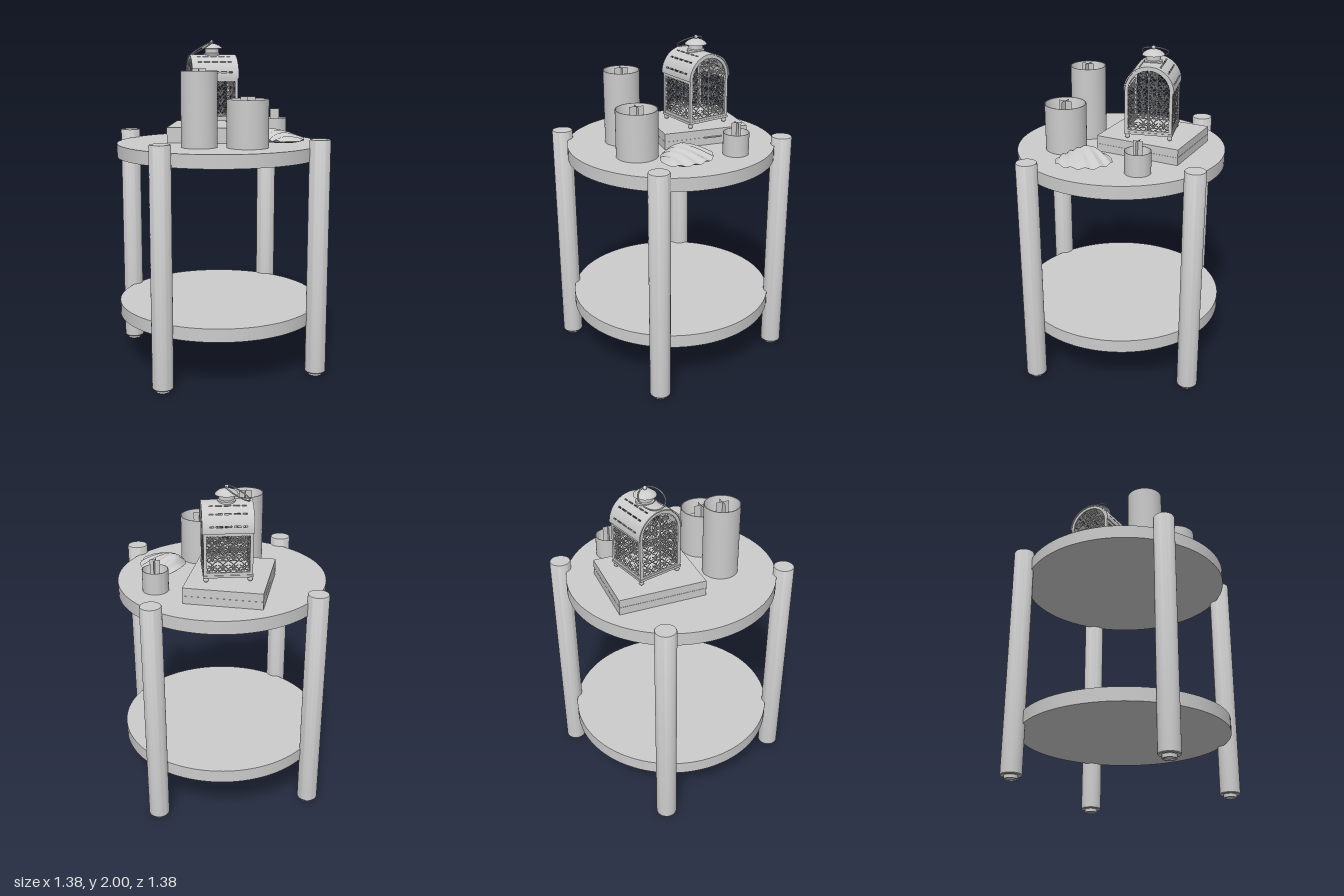
import * as THREE from 'three';
import { mergeGeometries, toCreasedNormals } from 'three/addons/utils/BufferGeometryUtils.js';

const mat = new THREE.MeshStandardMaterial({ color: 0xcccccc });
const thin = new THREE.MeshStandardMaterial({ color: 0xcccccc, side: THREE.DoubleSide });

function add(parent, name, geo, x = 0, y = 0, z = 0, material = mat) {
  const m = new THREE.Mesh(geo, material);
  m.name = name;
  m.position.set(x, y, z);
  parent.add(m);
  return m;
}
const box = (w, h, d) => new THREE.BoxGeometry(w, h, d);
const cyl = (r, h, n = 40) => new THREE.CylinderGeometry(r, r, h, n);
const lathe = (pts, n = 40) => toCreasedNormals(
  new THREE.LatheGeometry(pts.map(p => new THREE.Vector2(...p)), n), 0.6);

// Hollow-topped candle with a crossed-plane wick
function candle(r, h, wickTop, wickWidth) {
  const g = new THREE.Group();
  g.name = 'candle';
  add(g, 'candleBody', lathe([[0, 0], [r, 0], [r, h], [r * 0.96, h],
    [r * 0.8, h - 0.09], [r * 0.7, h - 0.1], [0, h - 0.11]], 48));
  const wickH = wickTop - h + 0.11;
  for (const a of [Math.PI / 4, -Math.PI / 4]) {
    add(g, 'wick', new THREE.PlaneGeometry(wickWidth, wickH), 0, wickTop - wickH / 2, 0, thin).rotation.y = a;
  }
  return g;
}

// One half of the scallop: rings shrinking from the outline to the apex
function shellHalf(up) {
  const rim = new THREE.CatmullRomCurve3([[0.1, 0.25], [0.19, 0.16], [0.27, 0.137], [0.335, 0.16],
    [0.383, 0.25], [0.36, 0.35], [0.3, 0.43], [0.225, 0.457], [0.15, 0.425], [0.1, 0.34]]
    .map(p => new THREE.Vector3(p[0], 0, p[1])), true);
  const N = 96, R = 14, pos = [], idx = [];
  const apex = up ? new THREE.Vector3(0.18, 0, 0.25) : new THREE.Vector3(0.24, 0, 0.3);
  for (let i = 0; i <= R; i++) {
    for (let j = 0; j < N; j++) {
      const t = i / R, p = apex.clone().lerp(rim.getPoint(j / N), t);
      const fan = Math.atan2(p.z - 0.3, p.x + 0.06);
      const rib = 0.006 * Math.sin(fan * 34) * Math.min(1, t * 1.5);
      p.y = up ? 1.41 + 0.062 * (1 - Math.pow(t, 1.5)) + rib : 1.385 + 0.025 * t * t + rib * t;
      pos.push(p.x, p.y, p.z);
      if (i === R) continue;
      const a = i * N + j, b = i * N + (j + 1) % N, c = a + N, d = b + N;
      idx.push(...(up ? [a, b, d, a, d, c] : [a, d, b, a, c, d]));
    }
  }
  const geo = new THREE.BufferGeometry();
  geo.setAttribute('position', new THREE.Float32BufferAttribute(pos, 3));
  geo.setIndex(idx);
  geo.computeVertexNormals();
  return geo;
}

// Flat wire along a list of 2D points
function wire(pts, r = 0.0032) {
  const c = new THREE.CatmullRomCurve3(pts.map(p => new THREE.Vector3(p[0], p[1], 0)));
  return new THREE.TubeGeometry(c, pts.length * 2, r, 4);
}
// Mirrored scroll motif centred on (u, v)
function scrolls(u, v, s) {
  const out = [];
  for (const m of [-1, 1]) {
    const pts = [[u, v - s]];
    for (let i = 0; i <= 10; i++) {
      const a = -Math.PI / 2 + i * 0.75, r = s * (0.52 - i * 0.036);
      pts.push([u + m * (s * 0.5 + r * Math.cos(a)), v + s * 0.1 + r * Math.sin(a)]);
    }
    out.push(wire(pts));
    out.push(wire([[u, v - s * 0.2], [u + m * s * 0.25, v + s * 0.5], [u + m * s * 0.9, v + s]]));
  }
  out.push(new THREE.TorusGeometry(s * 0.22, 0.003, 4, 10).translate(u, v + s * 0.75, 0));
  return out;
}
function filigree(arched) {
  const parts = [];
  for (const v of [1.55, 1.607, 1.664, 1.721]) {
    for (const u of [-0.09, -0.03, 0.03, 0.09]) parts.push(...scrolls(u, v, 0.029));
  }
  if (arched) {
    for (const u of [-0.085, -0.03, 0.03, 0.085]) parts.push(...scrolls(u, 1.785, 0.028));
    for (const u of [-0.035, 0.035]) parts.push(...scrolls(u, 1.843, 0.027));
    parts.push(wire([[0, 1.52], [0, 1.7], [0, 1.89]], 0.006));
  }
  return mergeGeometries(parts).scale(1, 1, 0.6);
}

// Arched frame with an arched opening
function archFrame() {
  const outline = (path, w, y0) => {
    path.moveTo(-w, y0);
    path.lineTo(w, y0);
    path.lineTo(w, 1.765);
    path.absarc(0, 1.765, w, 0, Math.PI, false);
    path.lineTo(-w, y0);
    return path;
  };
  const s = outline(new THREE.Shape(), 0.138, 1.515);
  s.holes.push(outline(new THREE.Path(), 0.12, 1.53));
  return new THREE.ExtrudeGeometry(s, { depth: 0.01, bevelEnabled: false, curveSegments: 24 })
    .translate(0, 0, -0.005);
}

// Curved strip of the vaulted roof between two angles (degrees)
function roofStrip(a0, a1, x0, x1) {
  const r0 = THREE.MathUtils.degToRad(a0), r1 = THREE.MathUtils.degToRad(a1);
  const s = new THREE.Shape();
  s.absarc(0, 0, 0.146, r0, r1, false);
  s.absarc(0, 0, 0.139, r1, r0, true);
  return toCreasedNormals(new THREE.ExtrudeGeometry(s, {
    depth: x1 - x0, bevelEnabled: false, curveSegments: Math.max(2, Math.ceil((a1 - a0) / 5)),
  }), 0.5).translate(0, 0, x0).rotateY(Math.PI / 2).translate(0, 1.765, 0);
}

function lantern() {
  const g = new THREE.Group();
  g.name = 'lantern';
  add(g, 'base', box(0.284, 0.014, 0.284), 0, 1.511, 0);
  for (const x of [-0.125, 0.125]) for (const z of [-0.125, 0.125]) {
    add(g, 'lanternFoot', new THREE.SphereGeometry(0.015, 14, 10), x, 1.49, z);
    add(g, 'cornerPost', box(0.018, 0.25, 0.018), x * 1.04, 1.64, z * 1.04);
  }
  for (const s of [-1, 1]) {
    // Side panels
    add(g, 'sideFiligree', filigree(false), 0, 0, s * 0.133);
    add(g, 'sideRail', box(0.26, 0.018, 0.01), 0, 1.525, s * 0.133);
    add(g, 'sideRail', box(0.26, 0.02, 0.01), 0, 1.758, s * 0.133);
    // Arched ends
    add(g, 'archFrame', archFrame(), s * 0.134, 0, 0).rotation.y = Math.PI / 2;
    add(g, 'archFiligree', filigree(true), s * 0.134, 0, 0).rotation.y = Math.PI / 2;
  }
  // Vaulted roof with rows of slots
  const slots = [14, 42, 64, 113, 135, 163], strips = [];
  let from = 0;
  for (const a of slots) {
    strips.push(roofStrip(from, a, -0.145, 0.145));
    for (let i = 0; i <= 5; i++) {
      const w = i % 5 ? 0.006 : 0.02, x = -0.125 + i * 0.05;
      strips.push(roofStrip(a, a + 3, x - w, x + w));
    }
    from = a + 3;
  }
  strips.push(roofStrip(from, 180, -0.145, 0.145));
  add(g, 'roof', mergeGeometries(strips));
  // Chimney, cap and knob
  add(g, 'chimney', lathe([[0.052, 1.9], [0.052, 1.915], [0.044, 1.92], [0.044, 1.945], [0.066, 1.947],
    [0.064, 1.953], [0.045, 1.968], [0.022, 1.977], [0.012, 1.98], [0, 1.981]], 28));
  add(g, 'knob', new THREE.SphereGeometry(0.012, 14, 10), 0, 1.988, 0);
  // Tilted ring handle
  const ring = add(g, 'handle', new THREE.TorusGeometry(0.078, 0.004, 8, 40).rotateX(Math.PI / 2), -0.063, 1.951, 0);
  ring.rotation.z = 0.53;
  return g;
}

export function createModel() {
  const model = new THREE.Group();
  model.name = 'sideTable';

  // Two round shelves
  add(model, 'tableTop', cyl(0.626, 0.08, 96), 0, 1.34, -0.006);
  add(model, 'lowerShelf', cyl(0.626, 0.08, 96), 0, 0.35, -0.006);

  // Four posts, evenly spaced round the rim
  for (let i = 0; i < 4; i++) {
    const a = 0.35 + i * Math.PI / 2, x = -0.667 * Math.cos(a), z = 0.667 * Math.sin(a) - 0.003;
    add(model, 'leg', lathe([[0, 0.02], [0.058, 0.02], [0.062, 0.025], [0.062, 1.425], [0.059, 1.43], [0, 1.43]]), x, 0, z);
    add(model, 'foot', lathe([[0, 0.006], [0.03, 0.006], [0.032, 0], [0.04, 0], [0.04, 0.021]]), x, 0, z);
  }

  // Candles: x, z, radius, height, wick top, wick width
  for (const [x, z, r, h, top, w] of [[-0.262, 0.122, 0.107, 0.44, 0.453, 0.08],
    [-0.06, 0.32, 0.123, 0.28, 0.295, 0.085], [0.437, 0.037, 0.076, 0.13, 0.187, 0.06]]) {
    const c = candle(r, h, top, w);
    c.position.set(x, 1.38, z);
    model.add(c);
  }

  // Keepsake box: tray, seam, lid and front tab
  const chest = new THREE.Group();
  chest.name = 'keepsakeBox';
  chest.position.set(0.064, 1.38, -0.188);
  chest.rotation.y = Math.PI / 4;
  add(chest, 'tray', box(0.523, 0.046, 0.458), 0, 0.023, 0);
  add(chest, 'seam', box(0.519, 0.004, 0.454), 0, 0.047, 0);
  add(chest, 'lid', box(0.523, 0.047, 0.458), 0, 0.0715, 0);
  add(chest, 'tab', box(0.11, 0.006, 0.012), 0.04, 0.047, 0.233);
  model.add(chest);

  const lamp = lantern();
  lamp.position.set(0.085, 0, -0.173);
  lamp.rotation.y = -Math.PI / 6;
  model.add(lamp);

  // Scallop shell
  add(model, 'shellTop', shellHalf(true), 0, 0, 0, thin);
  add(model, 'shellUnderside', shellHalf(false), 0, 0, 0, thin);
  return model;
}
